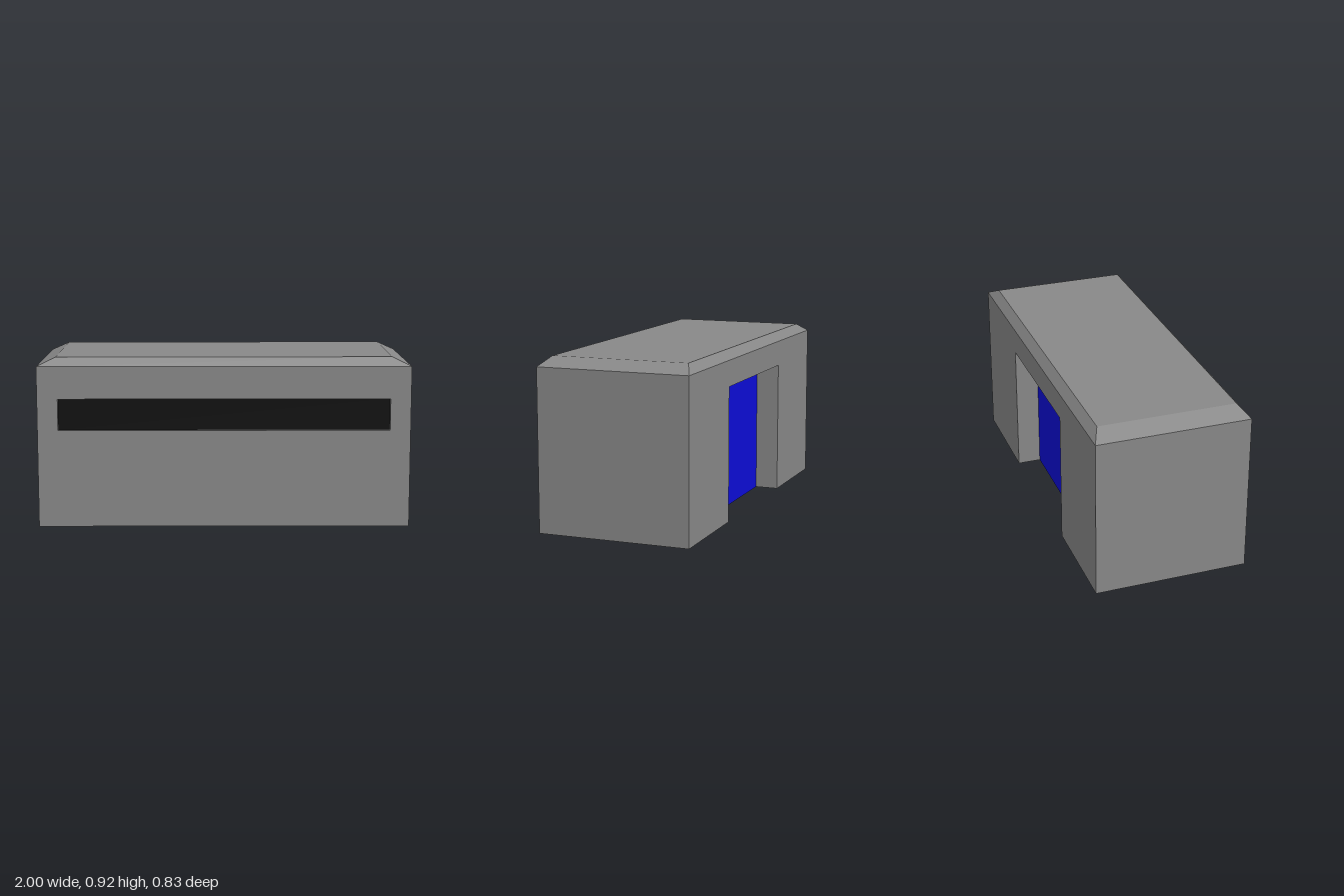
import * as THREE from 'three';

const W = 2, H = 0.87, TOP = 0.917, Z = 0.415;   // overall wall and roof sizes
const DOOR_W = 0.42, DOOR_H = 0.73, DOOR_DEPTH = 0.133;
const SLOT = { x: 0.89, y0: 0.525, y1: 0.695, depth: 0.03 };

const material = (name, color) => {
  const m = new THREE.MeshStandardMaterial({ color });
  m.name = name;
  return m;
};

// Closed outline in the x-y plane
const polygon = (points, Type = THREE.Shape) =>
  new Type(points.map(([x, y]) => new THREE.Vector2(x, y)));

export function createModel() {
  const group = new THREE.Group();
  group.name = 'bunker';
  const concrete = material('concrete grey', 0x888888);
  const black = material('slot black', 0x0e0e0e);
  const blue = material('door blue', 0x0d0dd8);

  const add = (name, geometry, mat, x, y, z) => {
    const mesh = new THREE.Mesh(geometry, mat);
    mesh.name = name;
    mesh.position.set(x, y, z);
    group.add(mesh);
  };
  const extrude = (shape, depth) =>
    new THREE.ExtrudeGeometry(shape, { depth, bevelEnabled: false });

  // Solid middle between the front and back walls
  const coreBack = -Z + DOOR_DEPTH, coreFront = Z - SLOT.depth;
  add('core', new THREE.BoxGeometry(W, H, coreFront - coreBack), concrete,
    0, H / 2, (coreFront + coreBack) / 2);

  // Front wall with the long viewing slot
  const front = polygon([[-1, 0], [1, 0], [1, H], [-1, H]]);
  front.holes.push(polygon([[-SLOT.x, SLOT.y0], [-SLOT.x, SLOT.y1],
    [SLOT.x, SLOT.y1], [SLOT.x, SLOT.y0]], THREE.Path));
  add('frontWall', extrude(front, SLOT.depth), concrete, 0, 0, coreFront);
  add('viewingSlot', new THREE.BoxGeometry(2 * SLOT.x, SLOT.y1 - SLOT.y0, 0.004), black,
    0, (SLOT.y0 + SLOT.y1) / 2, coreFront + 0.002);

  // Back wall with a doorway open to the ground
  const back = polygon([[-1, 0], [-DOOR_W, 0], [-DOOR_W, DOOR_H], [DOOR_W, DOOR_H],
    [DOOR_W, 0], [1, 0], [1, H], [-1, H]]);
  add('backWall', extrude(back, DOOR_DEPTH), concrete, 0, 0, -Z);
  add('door', new THREE.BoxGeometry(2 * DOOR_W, DOOR_H, 0.004), blue,
    0, DOOR_H / 2, coreBack - 0.002);

  // Roof slab, tapered towards the top on all four sides
  const roof = new THREE.BoxGeometry(W, TOP - H, 2 * Z);
  const p = roof.attributes.position;
  for (let i = 0; i < p.count; i++) {
    if (p.getY(i) > 0) {
      p.setX(i, Math.sign(p.getX(i)) * 0.9);
      p.setZ(i, Math.sign(p.getZ(i)) * 0.373);
    }
  }
  roof.computeVertexNormals();
  add('roof', roof, concrete, 0, (H + TOP) / 2, 0);

  return group;
}
